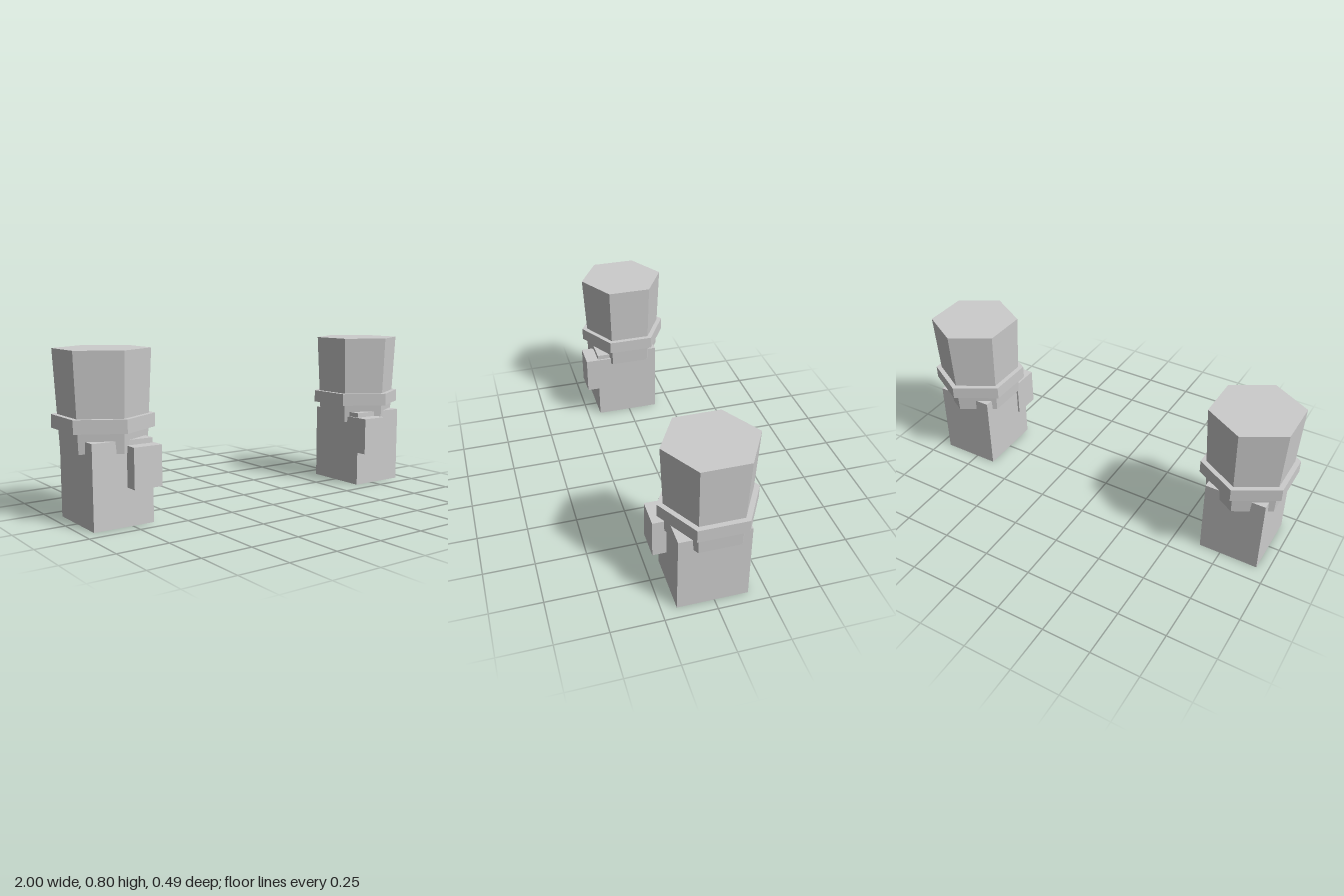
import * as THREE from 'three';

export function createModel() {
  const model = new THREE.Group();
  const grey = new THREE.MeshStandardMaterial({ color: 0xcccccc, flatShading: true });
  grey.name = 'light grey';

  const add = (parent, name, geometry, x, y, z) => {
    const mesh = new THREE.Mesh(geometry, grey);
    mesh.name = name;
    mesh.position.set(x, y, z);
    parent.add(mesh);
  };

  // A pair of hands, mirrored: side +1 is the left, -1 the right
  for (const side of [1, -1]) {
    const hand = new THREE.Group();
    hand.name = side > 0 ? 'leftHand' : 'rightHand';

    // Block fist with the thumb on its inner front corner
    add(hand, 'fist', new THREE.BoxGeometry(0.303, 0.398, 0.341), side * 0.792, 0.199, 0.0075);
    add(hand, 'thumb', new THREE.BoxGeometry(0.142, 0.192, 0.142), side * 0.702, 0.278, 0.174);

    // Six-sided flared forearm and the band around it
    add(hand, 'forearm', new THREE.CylinderGeometry(0.2245, 0.201, 0.46, 6), side * 0.794, 0.571, -0.006);
    add(hand, 'wristBand', new THREE.CylinderGeometry(0.237, 0.237, 0.064, 6), side * 0.794, 0.468, -0.006);

    model.add(hand);
  }
  return model;
}
